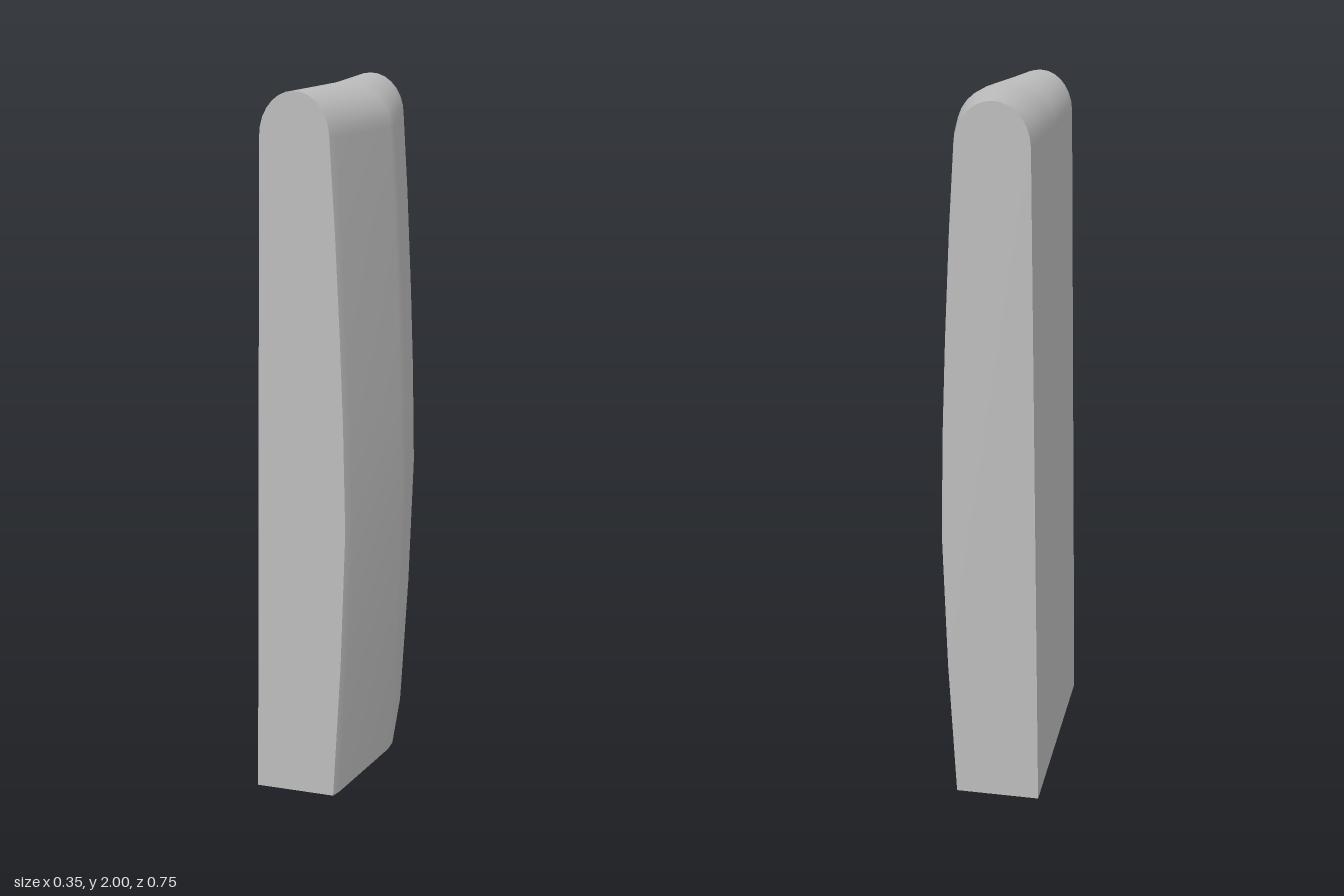
import * as THREE from 'three';

// Outermost x of the bulged side at stations along z: [z, x]
const stations = [[-0.375, 0.1], [-0.32, 0.113], [-0.012, 0.175], [0.035, 0.175], [0.345, 0.117], [0.375, 0.107]];
// Bulged side going up: [y, inset from outermost x]
const sideCurve = [[0, 0.037], [0.4, 0.014], [0.8, 0], [1.1, 0.006], [1.35, 0.015], [1.65, 0.029], [1.88, 0.043]];
const SHOULDER = 1.88, DOME = 0.12, DOME_STEPS = 14;

// Counter-clockwise cross-section at one station: bulged side, rounded top, flat side
function section([z, outer]) {
  const lean = 0.018 * (z + 0.375) / 0.75;
  const pts = sideCurve.map(([y, inset]) => new THREE.Vector2(outer - inset, y));
  const right = pts[pts.length - 1].x, left = -0.148 + lean;
  const mid = (right + left) / 2, half = (right - left) / 2;
  for (let i = 1; i <= DOME_STEPS; i++) {
    const a = Math.PI * i / DOME_STEPS;
    pts.push(new THREE.Vector2(mid + half * Math.cos(a), SHOULDER + DOME * Math.sin(a)));
  }
  pts.push(new THREE.Vector2(-0.178 + lean, 0));
  return pts;
}

// Smooth skin through all cross-sections
function loft(sections) {
  const pos = [], index = [], n = sections[0].length;
  sections.forEach((pts, j) => pts.forEach((p, i) => {
    pos.push(p.x, p.y, stations[j][0]);
    if (j < sections.length - 1 && i < n - 1) {
      const a = j * n + i, c = a + n;
      index.push(a, a + 1, c, a + 1, c + 1, c);
    }
  }));
  const geo = new THREE.BufferGeometry();
  geo.setAttribute('position', new THREE.Float32BufferAttribute(pos, 3));
  geo.setIndex(index);
  geo.computeVertexNormals();
  return geo;
}

export function createModel() {
  const group = new THREE.Group();
  group.name = 'curvedPanel';
  const grey = new THREE.MeshStandardMaterial({ color: 0xbcbcbc });
  grey.name = 'plain grey';
  const add = (name, geo) => {
    const mesh = new THREE.Mesh(geo, grey);
    mesh.name = name;
    group.add(mesh);
  };

  const sections = stations.map(section);
  const last = sections.length - 1;
  add('outerSkin', loft(sections));

  // Flat ends
  add('frontEnd', new THREE.ShapeGeometry(new THREE.Shape(sections[last])).translate(0, 0, stations[last][0]));
  const mirrored = sections[0].map(p => new THREE.Vector2(-p.x, p.y)).reverse();
  add('backEnd', new THREE.ShapeGeometry(new THREE.Shape(mirrored)).rotateY(Math.PI).translate(0, 0, stations[0][0]));

  // Underside, following the bulged outline
  const outline = sections.map((pts, j) => new THREE.Vector2(pts[0].x, stations[j][0]));
  for (const j of [last, 0]) {
    const pts = sections[j];
    outline.push(new THREE.Vector2(pts[pts.length - 1].x, stations[j][0]));
  }
  add('base', new THREE.ShapeGeometry(new THREE.Shape(outline)).rotateX(Math.PI / 2));
  return group;
}
